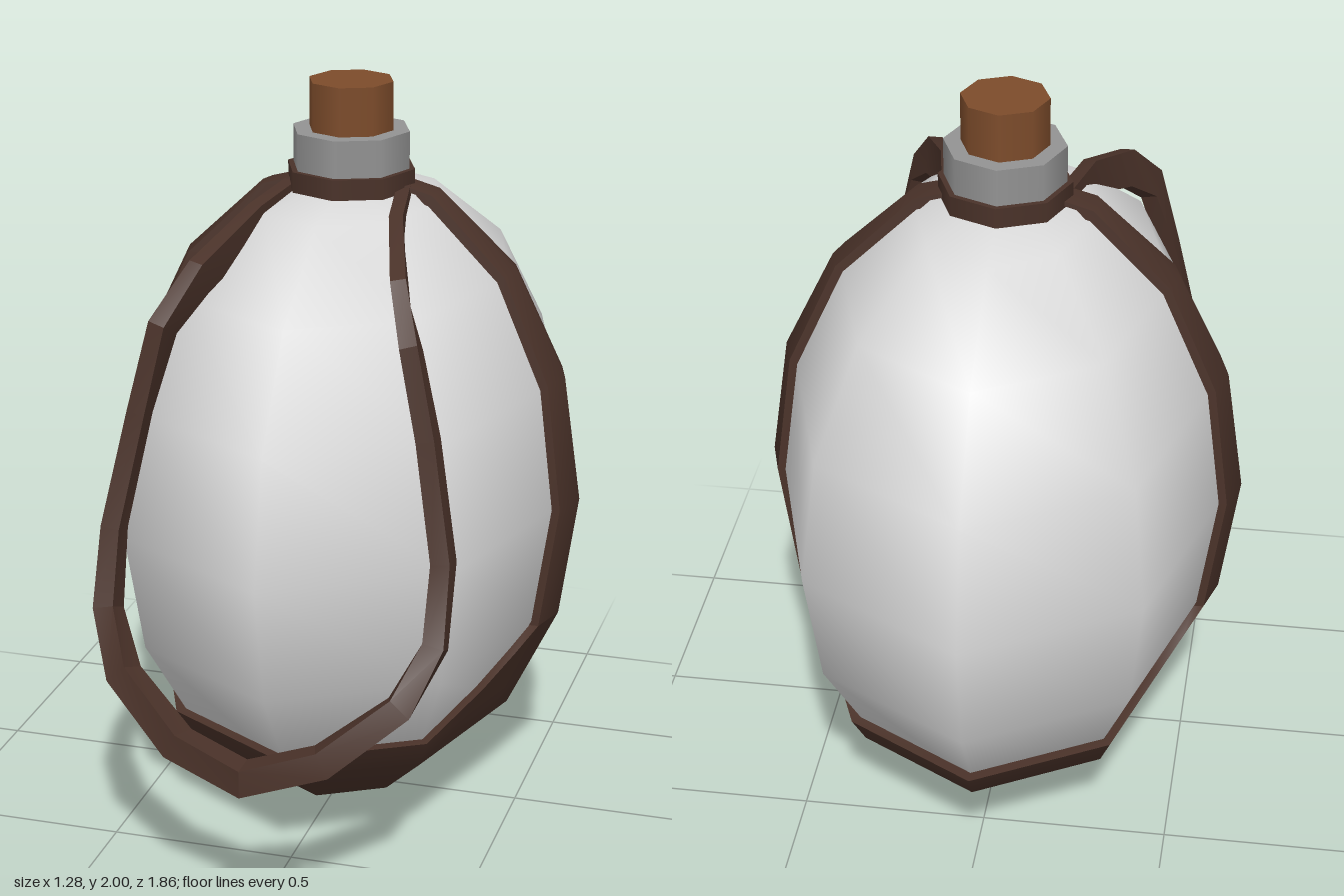
import * as THREE from 'three';
import { toCreasedNormals } from 'three/addons/utils/BufferGeometryUtils.js';

const CZ = -0.073, CY = 0.89, R = 0.89, KX = 0.721; // harness ellipsoid

// Skin a surface through rows of points
function loft(rows, closed, crease) {
  const n = rows[0].length, index = [];
  for (let i = 0; i < rows.length - 1; i++) {
    for (let j = 0; j < (closed ? n : n - 1); j++) {
      const k = (j + 1) % n;
      const a = i * n + j, b = i * n + k, c = a + n, d = b + n;
      index.push(a, c, b, b, c, d);
    }
  }
  const g = new THREE.BufferGeometry();
  g.setAttribute('position', new THREE.Float32BufferAttribute(rows.flat(2), 3));
  g.setIndex(index);
  g.computeVertexNormals();
  return toCreasedNormals(g, crease);
}

// Radius of the faceted harness ellipsoid at height y
function radiusAt(y) {
  for (let i = 0; i < 8; i++) {
    const a = i * Math.PI / 8, b = a + Math.PI / 8;
    const y0 = CY - R * Math.cos(a), y1 = CY - R * Math.cos(b);
    if (y <= y1 + 1e-6) {
      return THREE.MathUtils.mapLinear(y, y0, y1, R * Math.sin(a), R * Math.sin(b));
    }
  }
  return 0;
}

// Cup under the body, rising to each side strap
function cupGeometry() {
  const quarter = [[0, 0.549], [0.13, 0.549], [0.22, 0.49], [0.37, 0.42], [0.707, 0.345]]
    .map(([t, rim]) => [1 - 0.414 * t, t, rim]);
  quarter.push([0, 1, 0.345]);
  const left = quarter.slice(0, -1).reverse().map(([x, z, h]) => [-x, z, h]);
  const half = [...quarter, ...left];
  const ring = [...half, ...half.slice(1, -1).reverse().map(([x, z, h]) => [x, -z, h])];
  const row = (level, s) => ring.map(([x, z, rim]) => {
    const y = Math.min(level, rim), r = radiusAt(y) * s;
    return [x * r * KX, y, z * r + CZ];
  });
  const rows = [0, 0.067, 0.261, 0.345, 0.42, 0.49, 0.549].map(l => row(l, 1));
  rows.push(row(0.549, 0.95));
  return loft(rows, true, 1.15);
}

// Tapering strap up one side of the body
function sideStrapGeometry(side) {
  const stations = [[0.549, 0.107], [0.89, 0.105], [1.23, 0.09], [1.512, 0.066], [1.712, 0.043], [1.745, 0.04]];
  const rows = stations.map(([y, w]) => {
    const r = radiusAt(y);
    return [[-w, 0.045], [-w, 0], [0, 0], [w, 0], [w, 0.045]].map(([z, inset]) =>
      [side * (KX * (r - 0.414 * Math.abs(z)) - inset), y, z + CZ]);
  });
  return loft(rows, false, 0.7);
}

// Hanging loop: x, y, z, facing y, facing z, half depth, half thickness
function loopGeometry() {
  const half = [
    [0.15, 1.69, -0.06, 1, 0.15, 0.042, 0.018],
    [0.19, 1.665, 0.16, 1, 0.3, 0.045, 0.018],
    [0.265, 1.575, 0.40, 0.9, 0.5, 0.05, 0.02],
    [0.325, 1.47, 0.515, 0.6, 0.8, 0.045, 0.023],
    [0.38, 1.25, 0.55, 0.15, 1, 0.033, 0.024],
    [0.437, 0.95, 0.605, 0.1, 1, 0.035, 0.025],
    [0.435, 0.75, 0.67, 0.1, 1, 0.036, 0.028],
    [0.365, 0.61, 0.755, 0, 1, 0.036, 0.033],
    [0.19, 0.48, 0.845, 0, 1, 0.036, 0.036],
    [0, 0.43, 0.893, 0, 1, 0.036, 0.037],
  ];
  const path = [...half, ...half.slice(0, -1).reverse().map(([x, ...rest]) => [-x, ...rest])];
  const points = path.map(p => new THREE.Vector3(p[0], p[1], p[2]));
  const rows = path.map((p, i) => {
    const tangent = points[Math.min(i + 1, points.length - 1)].clone()
      .sub(points[Math.max(i - 1, 0)]).normalize();
    const out = new THREE.Vector3(0, p[3], p[4]);
    out.addScaledVector(tangent, -out.dot(tangent)).normalize();
    const across = new THREE.Vector3().crossVectors(tangent, out);
    return [[-1, -1], [1, -1], [1, 1], [-1, 1]].map(([a, b]) =>
      points[i].clone().addScaledVector(across, a * p[6]).addScaledVector(out, b * p[5]).toArray());
  });
  return loft(rows, true, 0.3);
}

export function createModel() {
  const group = new THREE.Group();
  const material = (name, color, side = THREE.FrontSide) => {
    const m = new THREE.MeshStandardMaterial({ color, side });
    m.name = name;
    return m;
  };
  const shell = material('pale shell', 0xdadada);
  const metal = material('grey neck', 0x939393);
  const leather = material('dark leather', 0x4a3229, THREE.DoubleSide);
  const wood = material('cork brown', 0x7d4c2b);

  const add = (name, geometry, mat) => {
    const mesh = new THREE.Mesh(geometry, mat);
    mesh.name = name;
    group.add(mesh);
    return mesh;
  };

  // Egg-shaped body
  const body = new THREE.SphereGeometry(0.86, 8, 8);
  body.scale(KX, 1, 1);
  body.translate(0, CY, CZ);
  add('body', body, shell);

  // Leather harness
  add('cup', cupGeometry(), leather);
  add('leftStrap', sideStrapGeometry(1), leather);
  add('rightStrap', sideStrapGeometry(-1), leather);
  add('carryLoop', loopGeometry(), leather);

  // Stacked octagonal collar, neck and stopper
  const stack = (name, radius, y0, y1, mat) => {
    const g = new THREE.CylinderGeometry(radius, radius, y1 - y0, 8);
    g.translate(0, (y0 + y1) / 2, CZ);
    add(name, g, mat);
  };
  stack('collar', 0.175, 1.715, 1.77, leather);
  stack('neck', 0.16, 1.76, 1.87, metal);
  stack('stopper', 0.115, 1.86, 2.0, wood);

  return group;
}
